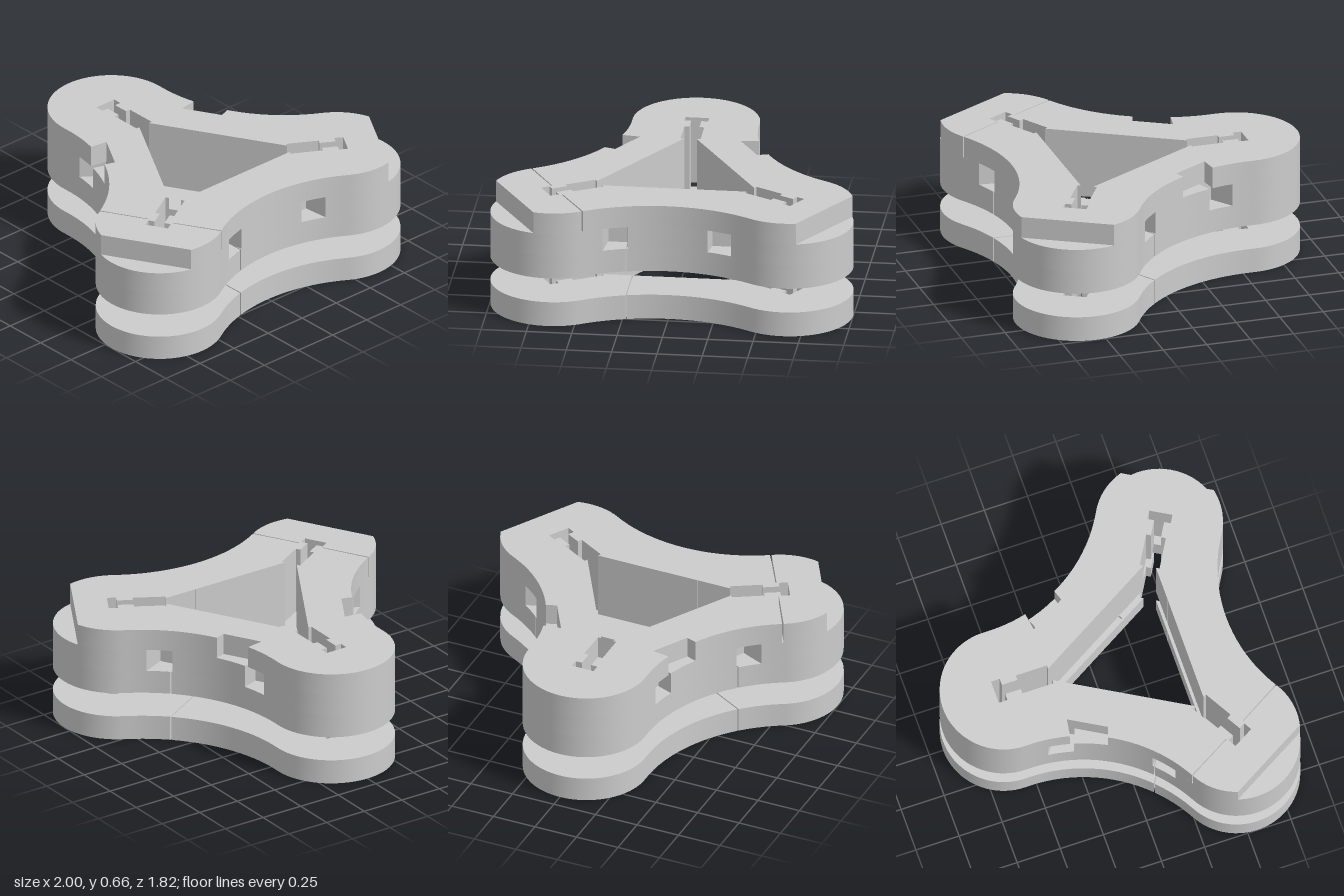
import * as THREE from 'three';
import { toCreasedNormals } from 'three/addons/utils/BufferGeometryUtils.js';

const CZ = 0.18;              // the three-fold axis sits at z = CZ
const LOBE_R = 0.35, LOBE_D = 0.75, SWEEP = 1.602;
const ARC_R = 0.884, ARC_D = 1.424, ARM_T = 0.466;
const TURN = -2 * Math.PI / 3;

const material = new THREE.MeshStandardMaterial({ color: 0xcccccc, side: THREE.DoubleSide });

// Points are [x, z] about the axis; arm 0 is the front, 1 the right, 2 the left
function rotate([x, z], a) {
  const c = Math.cos(a), s = Math.sin(a);
  return [x * c - z * s, x * s + z * c];
}
const armDepth = (t) => ARC_D - Math.sqrt(ARC_R * ARC_R - t * t);

// One concave arm edge; a notch is [outerStart, outerEnd, innerStart, innerEnd, innerDepth]
function armEdge(notches) {
  const pts = [];
  const n = 20;
  for (let i = 0; i <= n; i++) {
    const t = -ARM_T + (2 * ARM_T * i) / n;
    if (!notches.some(([a, b]) => t >= a && t <= b)) pts.push({ key: t, p: [t, armDepth(t)] });
  }
  notches.forEach(([a, b, ai, bi, d]) => {
    const cut = [[a, armDepth(a)], [ai, d], [bi, d], [b, armDepth(b)]];
    cut.forEach((p, j) => pts.push({ key: a + ((b - a) * j) / 3, p }));
  });
  return pts.sort((u, v) => u.key - v.key).map((u) => u.p);
}

// Rounded lobe, optionally cut off straight across its tip
function lobeEdge(cut) {
  const pts = [];
  const n = 36, flat = 0.834, phi = Math.PI / 6;
  const angles = [];
  for (let i = 1; i < n; i++) angles.push(SWEEP - (2 * SWEEP * i) / n);
  const list = cut
    ? [...angles.filter((a) => a > flat), flat, -flat, ...angles.filter((a) => a < -flat)]
    : angles;
  list.forEach((a) => pts.push([
    LOBE_D * Math.cos(phi) + LOBE_R * Math.cos(phi + a),
    LOBE_D * Math.sin(phi) + LOBE_R * Math.sin(phi + a),
  ]));
  return pts;
}

function outline(notches, cuts) {
  const pts = [];
  for (let k = 0; k < 3; k++) {
    [...armEdge(notches[k]), ...lobeEdge(cuts[k])].forEach((p) => pts.push(rotate(p, k * TURN)));
  }
  return pts;
}

// Triangular opening with a T-shaped slot at each corner
function opening() {
  const half = [[0.48, 0.035], [0.48, 0.055], [0.66, 0.055], [0.66, 0.028], [0.75, 0.028], [0.75, 0.065], [0.80, 0.065]];
  const slot = [...half, ...half.slice().reverse().map(([r, w]) => [r, -w])];
  const pts = [];
  for (let k = 0; k < 3; k++) slot.forEach((p) => pts.push(rotate(p, Math.PI / 6 + k * TURN)));
  return pts;
}

// Vertical sheet along a path
function wall(path, y0, y1, closed) {
  const pos = [];
  const n = closed ? path.length : path.length - 1;
  for (let i = 0; i < n; i++) {
    const [ax, az] = path[i], [bx, bz] = path[(i + 1) % path.length];
    pos.push(ax, y0, az, bx, y0, bz, bx, y1, bz, ax, y0, az, bx, y1, bz, ax, y1, az);
  }
  const g = new THREE.BufferGeometry();
  g.setAttribute('position', new THREE.Float32BufferAttribute(pos, 3));
  g.computeVertexNormals();
  return toCreasedNormals(g, 0.4);
}

function add(group, name, geometry) {
  const mesh = new THREE.Mesh(geometry, material);
  mesh.name = name;
  group.add(mesh);
}

// Open-bottomed shell: roof, outer wall, wall of the opening and ribs
function shell(name, y0, y1, notches, cuts) {
  const g = new THREE.Group();
  g.name = name;
  const outer = outline(notches, cuts), inner = opening();
  const toVec = ([x, z]) => new THREE.Vector2(x, -z);
  const shape = new THREE.Shape(outer.map(toVec));
  shape.holes.push(new THREE.Path(inner.map(toVec)));
  const roof = new THREE.ShapeGeometry(shape);
  roof.rotateX(-Math.PI / 2).translate(0, y1, 0);
  add(g, 'roof', roof);
  add(g, 'outerWall', wall(outer, y0, y1, true));
  add(g, 'openingWall', wall(inner, y0, y1, true));
  for (let k = 0; k < 3; k++) {
    const tip = cuts[k] ? 0.985 : LOBE_D + LOBE_R;
    const lobeRib = [[0.80, 0], [tip, 0]].map((p) => rotate(p, Math.PI / 6 + k * TURN));
    add(g, 'lobeRib', wall(lobeRib, y0, y1, false));
    for (const t of [-0.2, 0.2]) {
      const armRib = [[t, 0.27], [t, 0.48]].map((p) => rotate(p, k * TURN));
      add(g, 'armRib', wall(armRib, y0, y1, false));
    }
  }
  g.position.z = CZ;
  return g;
}

const mirror = ([a, b, ai, bi, d]) => [-b, -a, -bi, -ai, d];

export function createModel() {
  const model = new THREE.Group();
  model.name = 'stackedTray';
  const whole = [false, false, false];

  // Narrow seams that split the two lower shells
  const seam = [-0.233, -0.227, -0.233, -0.227, 0.28];
  const seams = [[seam], [seam], [mirror(seam)]];
  model.add(shell('baseShell', 0, 0.14, seams, whole));
  model.add(shell('lowerShell', 0.28, 0.413, seams, whole));

  // Middle shell with a pair of windows in every arm
  const windowCut = [0.22, 0.355, 0.235, 0.34, 0.47];
  const pair = [mirror(windowCut), windowCut];
  model.add(shell('middleShell', 0.413, 0.54, [pair, pair, pair], whole));

  // Top shell with trimmed front lobes, two nicks beside the back lobe and one seamed lobe
  const nick = [0.035, 0.24, 0.047, 0.276, 0.48];
  const lobeSeam = [-0.464, -0.457, -0.604, -0.597, 0.43];
  model.add(shell('topShell', 0.54, 0.662,
    [[lobeSeam], [nick], [mirror(nick), mirror(lobeSeam)]], [true, false, true]));

  return model;
}
